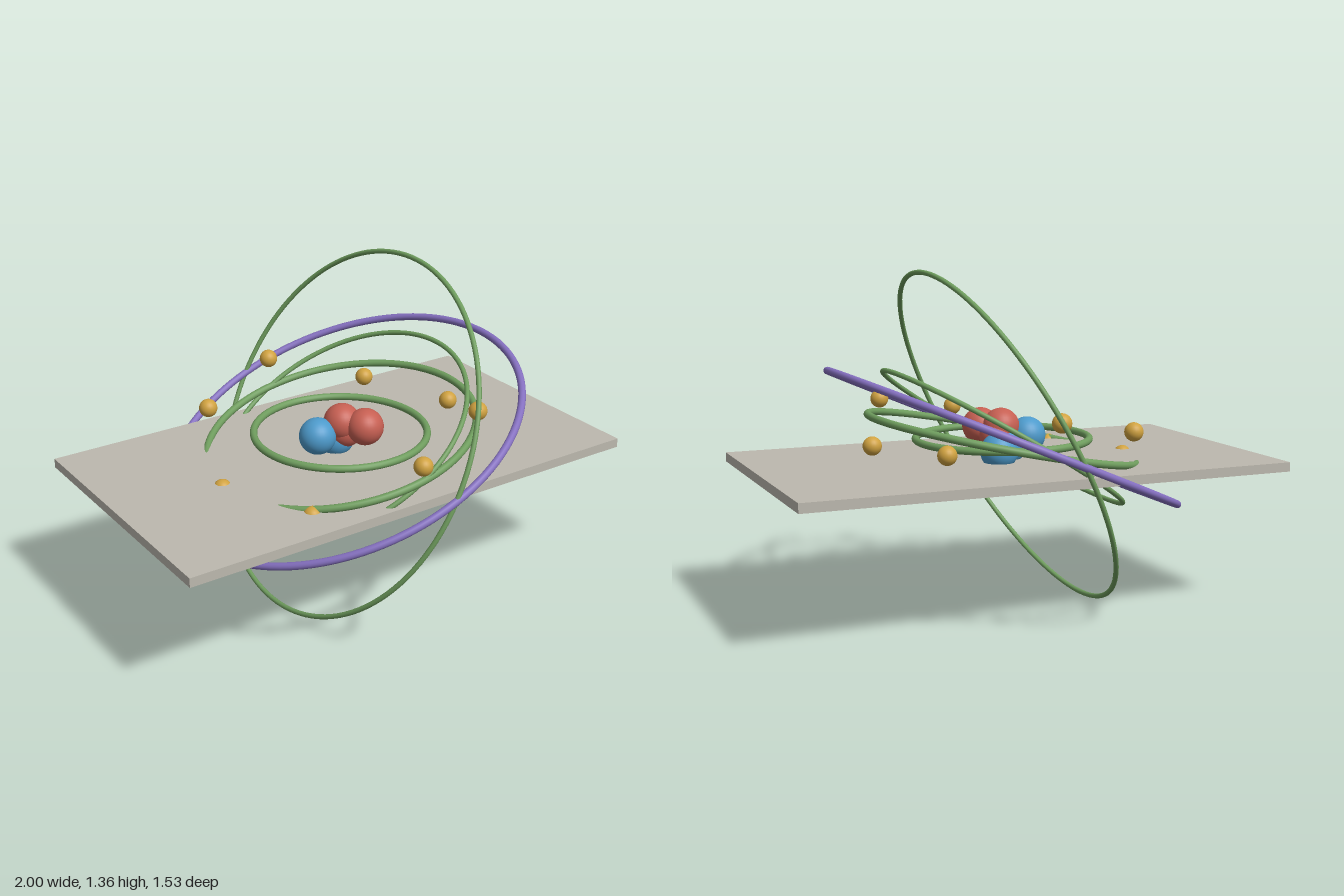
import * as THREE from 'three';

function material(name, color) {
  const m = new THREE.MeshStandardMaterial({ color });
  m.name = name;
  return m;
}

export function createModel() {
  const model = new THREE.Group();
  model.name = 'atomModel';
  const grey = material('stone grey', 0xbcb8ae);
  const green = material('leaf green', 0x6f9d5e);
  const purple = material('violet', 0x8570c0);
  const red = material('brick red', 0xc65f52);
  const blue = material('sky blue', 0x4d9acb);
  const gold = material('gold', 0xd0a240);
  const centreY = 0.68;

  const add = (name, geometry, mat, x, y, z) => {
    const mesh = new THREE.Mesh(geometry, mat);
    mesh.name = name;
    mesh.position.set(x, y, z);
    model.add(mesh);
    return mesh;
  };

  // Thin base plate through which the orbits pass
  add('plate', new THREE.BoxGeometry(2, 0.0375, 1.125), grey, 0, 0.58125, 0);

  // Orbits: radius, tube radius, tilt about z in radians
  const orbits = [
    ['innerOrbit', 0.35, 0.015, 0, green],
    ['middleOrbit', 0.55, 0.015, 0.2, green],
    ['steepMiddleOrbit', 0.55, 0.01, 0.55, green],
    ['outerOrbit', 0.75, 0.015, 0.4, purple],
    ['steepOuterOrbit', 0.75, 0.01, 1.1, green],
  ];
  for (const [name, radius, tube, tilt, mat] of orbits) {
    const ring = new THREE.TorusGeometry(radius, tube, 14, 120).rotateX(Math.PI / 2);
    add(name, ring, mat, 0, centreY, 0).rotation.z = tilt;
  }

  // Nucleus: three outer particles round a central cluster
  const particle = new THREE.SphereGeometry(0.075, 32, 20);
  const nucleus = [
    [red, 0.055, 0.72, 0.095],
    [blue, -0.11, 0.685, 0],
    [blue, 0.055, 0.642, -0.095],
    [red, 0, 0.725, 0.012],
    [red, 0.015, 0.69, 0.01],
    [blue, -0.01, 0.645, -0.02],
  ];
  nucleus.forEach(([mat, x, y, z], i) => add(`nucleusParticle${i + 1}`, particle, mat, x, y, z));

  // Eight electrons evenly spaced on a circle, at varied heights
  const electron = new THREE.SphereGeometry(0.0375, 24, 16);
  const heights = [0.682, 0.813, 0.742, 0.58, 0.576, 0.735, 0.813, 0.694];
  heights.forEach((y, i) => {
    const a = (i * Math.PI) / 4;
    add(`electron${i + 1}`, electron, gold, 0.55 * Math.cos(a), y, 0.55 * Math.sin(a));
  });

  return model;
}
